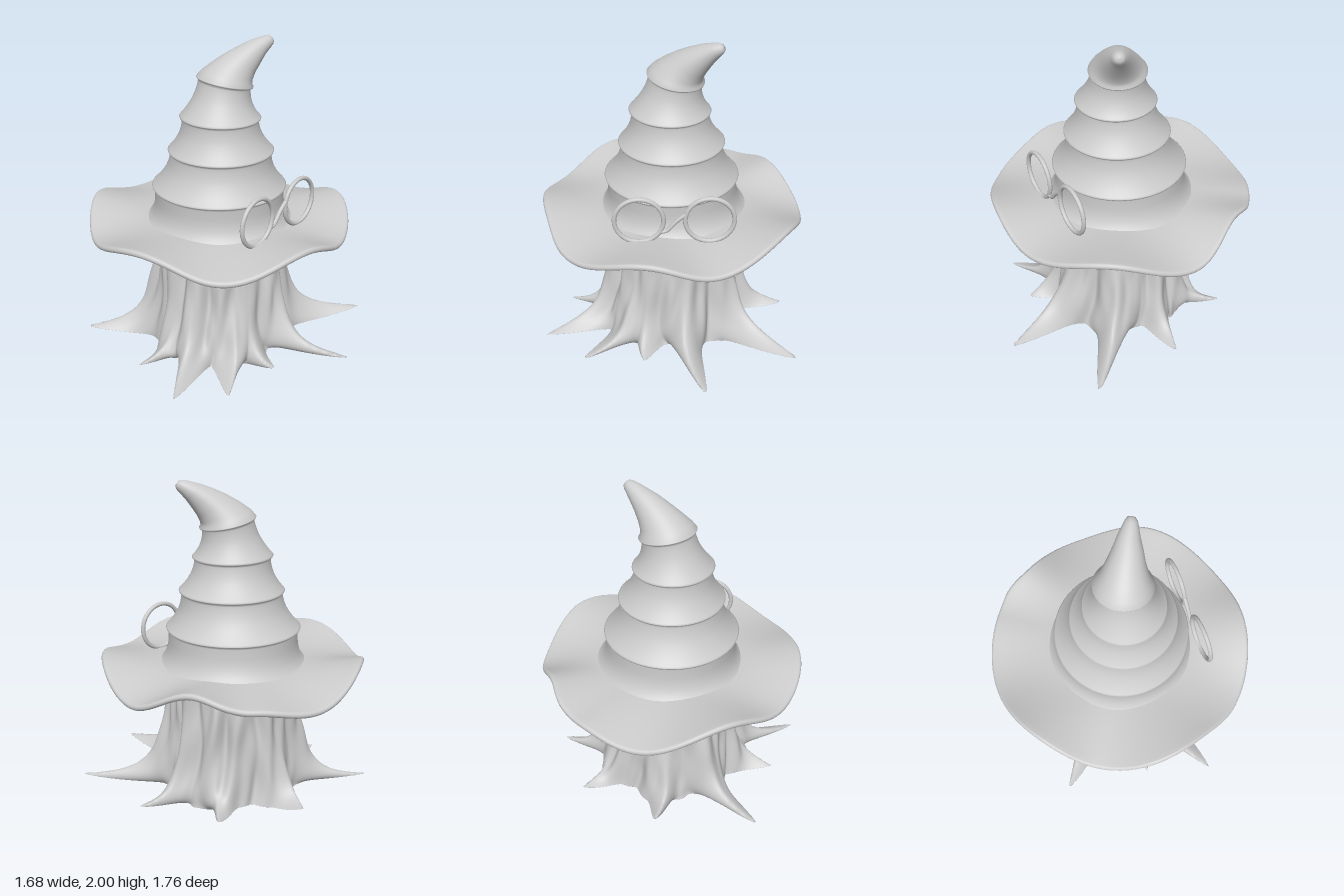
import * as THREE from 'three';

const TAU = Math.PI * 2;
const deg = Math.PI / 180;
const mat = new THREE.MeshStandardMaterial({ color: 0xcccccc, side: THREE.DoubleSide });
const lerp = THREE.MathUtils.lerp;

// Closed-ring surface: point(row, angle) for each row, ordered bottom to top
function ringSurface(name, rows, segs, point) {
  const pos = [], idx = [];
  for (let i = 0; i < rows; i++) {
    for (let j = 0; j < segs; j++) pos.push(...point(i, (j / segs) * TAU));
  }
  for (let i = 0; i < rows - 1; i++) {
    for (let j = 0; j < segs; j++) {
      const k = (j + 1) % segs, a = i * segs, b = a + segs;
      idx.push(a + j, b + j, a + k, b + j, b + k, a + k);
    }
  }
  const geo = new THREE.BufferGeometry();
  geo.setAttribute('position', new THREE.Float32BufferAttribute(pos, 3));
  geo.setIndex(idx);
  geo.computeVertexNormals();
  const mesh = new THREE.Mesh(geo, mat);
  mesh.name = name;
  return mesh;
}

// Smooth value around the circle from [degrees, value] keys
function aroundCircle(keys, a) {
  const d = a / deg;
  const i = keys.findIndex((key, n) => n > 0 && d <= key[0]);
  const [d0, v0] = keys[i - 1], [d1, v1] = keys[i];
  return lerp(v0, v1, (1 - Math.cos(Math.PI * (d - d0) / (d1 - d0))) / 2);
}

// Stump with fluted bark and spreading roots
function makeStump() {
  // [angle in degrees, reach, sideways bend, tip lift]
  const roots = [
    [1, 0.74, 0.1, 0.03], [38, 1.02, 0.06, 0.045], [81, 0.95, -0.1, 0.03], [110, 0.64, -0.12, 0.02],
    [134, 0.84, 0.14, 0.01], [159, 0.94, -0.08, 0.015], [184, 0.74, 0.1, 0.02],
    [227, 0.89, -0.08, 0.03], [270, 0.66, 0.12, 0.06], [321, 0.69, -0.1, 0.05],
  ];
  const rows = 56, height = 0.9;
  const surface = (a, y) => {
    const core = 0.398 + 0.06 * Math.exp(-y / 0.25);
    const spread = 0.58 * Math.exp(-y / 0.22) + 0.42 * Math.exp(-y / 0.05);
    const width = 0.095 + 0.18 * (1 - Math.exp(-y / 0.16));
    let extra = 0, lift = 0;
    for (const [angle, reach, bend, tipLift] of roots) {
      const centre = angle * deg + bend * (Math.exp(-y / 0.07) - 0.7);
      let da = Math.abs(a - centre) % TAU;
      if (da > Math.PI) da = TAU - da;
      const w = Math.exp(-Math.pow(da / width, 1.4));
      extra = Math.max(extra, (reach - 0.46) * spread * w);
      lift = Math.max(lift, tipLift * w * w * Math.exp(-y / 0.1));
    }
    // Vertical grooves and knobbly bark
    const groove = 0.014 * Math.sin(11 * a + 2.5 * Math.sin(3 * y + 2 * a))
      - 0.022 * Math.pow(Math.abs(Math.sin(6.5 * a + 0.9 * Math.sin(4 * y) + 0.8 * Math.sin(2 * a))), 8)
      + 0.006 * Math.sin(23 * a + 5 * y) + 0.006 * Math.sin(9 * a) * Math.sin(16 * y + 5 * Math.cos(3 * a));
    return [core + extra + groove, lift];
  };
  return ringSurface('stump', rows, 320, (i, a) => {
    const y = height * Math.pow(Math.max(0, i - 2) / (rows - 3), 1.8);
    let [r, lift] = surface(a, y);
    let h = y + lift + 0.015 * (1 + Math.sin(5 * a)) * Math.exp(-y / 0.1);
    // First rows close the underside
    if (i === 0) { r = 0; h = 0.03; }
    if (i === 1) { r *= 0.7; h = 0.025; }
    return [r * Math.cos(a), h, r * Math.sin(a) - 0.035];
  });
}

// Wavy hat brim with a rounded rim
function makeBrim() {
  const heights = [
    [0, 0.765], [37, 0.9], [73, 0.8], [102, 0.895], [137, 0.79], [174, 0.9],
    [208, 0.805], [240, 0.915], [278, 0.78], [305, 0.83], [330, 0.9], [360, 0.765],
  ];
  const radii = [
    [0, 0.83], [45, 0.84], [90, 0.84], [140, 0.86], [163, 0.83], [185, 0.84],
    [230, 0.82], [270, 0.84], [315, 0.82], [332, 0.785], [360, 0.83],
  ];
  const flat = 14, rim = 8, thick = 0.02;
  const rows = flat * 2 + rim + 1;
  return ringSurface('hatBrim', rows, 144, (i, a) => {
    let u, off, out = 0;
    if (i < flat) { u = i / flat; off = -thick; }
    else if (i <= flat + rim) {
      const t = (i - flat) / rim * Math.PI;
      u = 1; off = -thick * Math.cos(t); out = thick * Math.sin(t);
    } else { u = (rows - 1 - i) / flat; off = thick; }
    const r = lerp(0.37, aroundCircle(radii, a) - thick, u) + out;
    const y = lerp(0.842, aroundCircle(heights, a), Math.pow(u, 1.5)) + off;
    return [r * Math.cos(a), y, r * Math.sin(a) - 0.05];
  });
}

// Tiered, bent crown
function makeCrown() {
  // Lip of each tier: x, y, z, radius, tilt
  const lips = [
    [0, 0.85, -0.035, 0.47, 0], [-0.01, 1.075, -0.03, 0.425, 0], [-0.01, 1.31, -0.015, 0.332, 0],
    [-0.02, 1.525, -0.012, 0.252, 0.02], [0.015, 1.74, -0.005, 0.178, 0.2],
  ];
  const sections = [];
  for (let k = 0; k < lips.length - 1; k++) {
    const p = lips[k], q = lips[k + 1], inner = q[3] - 0.016;
    for (const f of [0, 0.03, 0.08, 0.16, 0.28, 0.45, 0.62, 0.8, 0.9, 0.955]) {
      const s = p.map((v, n) => lerp(v, q[n], f));
      s[3] = inner + (p[3] - inner) * Math.pow(1 - f, k ? 2.2 : 4);
      sections.push(s);
    }
    sections.push([q[0], q[1] - 0.008, q[2], q[3] - 0.003, q[4]]);
  }
  // Curling tip
  sections.push(
    lips[4], [0.025, 1.765, 0.003, 0.16, 0.3], [0.055, 1.8, 0.02, 0.135, 0.45], [0.1, 1.845, 0.045, 0.109, 0.6],
    [0.15, 1.89, 0.075, 0.086, 0.7], [0.2, 1.93, 0.1, 0.064, 0.75], [0.24, 1.957, 0.125, 0.047, 0.8],
    [0.262, 1.971, 0.138, 0.037, 0.85], [0.277, 1.98, 0.146, 0.024, 0.9], [0.282, 1.984, 0.148, 0, 0.9],
  );
  const up = new THREE.Vector3(0, 1, 0), q = new THREE.Quaternion(), n = new THREE.Vector3();
  return ringSurface('hatCrown', sections.length, 96, (i, a) => {
    const [x, y, z, r, tilt] = sections[i];
    n.set(0.87 * Math.sin(tilt), Math.cos(tilt), 0.49 * Math.sin(tilt)).normalize();
    q.setFromUnitVectors(up, n);
    const v = new THREE.Vector3(r * Math.cos(a), 0, r * Math.sin(a)).applyQuaternion(q);
    return [x + v.x, y + v.y, z + v.z];
  });
}

// Round spectacles with a slanted bridge
function makeSpectacles() {
  const group = new THREE.Group();
  group.name = 'spectacles';
  for (const [name, x] of [['rightRim', -0.215], ['leftRim', 0.208]]) {
    const rim = new THREE.Mesh(new THREE.TorusGeometry(0.147, 0.014, 12, 64), mat);
    rim.name = name;
    rim.position.set(x, 1.005, 0.437);
    group.add(rim);
  }
  const path = new THREE.CatmullRomCurve3([
    new THREE.Vector3(-0.085, 0.925, 0.437), new THREE.Vector3(-0.05, 0.935, 0.437),
    new THREE.Vector3(0.01, 1.0, 0.437), new THREE.Vector3(0.07, 1.05, 0.437),
  ]);
  const bridge = new THREE.Mesh(new THREE.TubeGeometry(path, 24, 0.013, 10), mat);
  bridge.name = 'bridge';
  group.add(bridge);
  return group;
}

export function createModel() {
  const model = new THREE.Group();
  model.name = 'stumpWithHat';
  model.add(makeStump(), makeBrim(), makeCrown(), makeSpectacles());
  return model;
}
